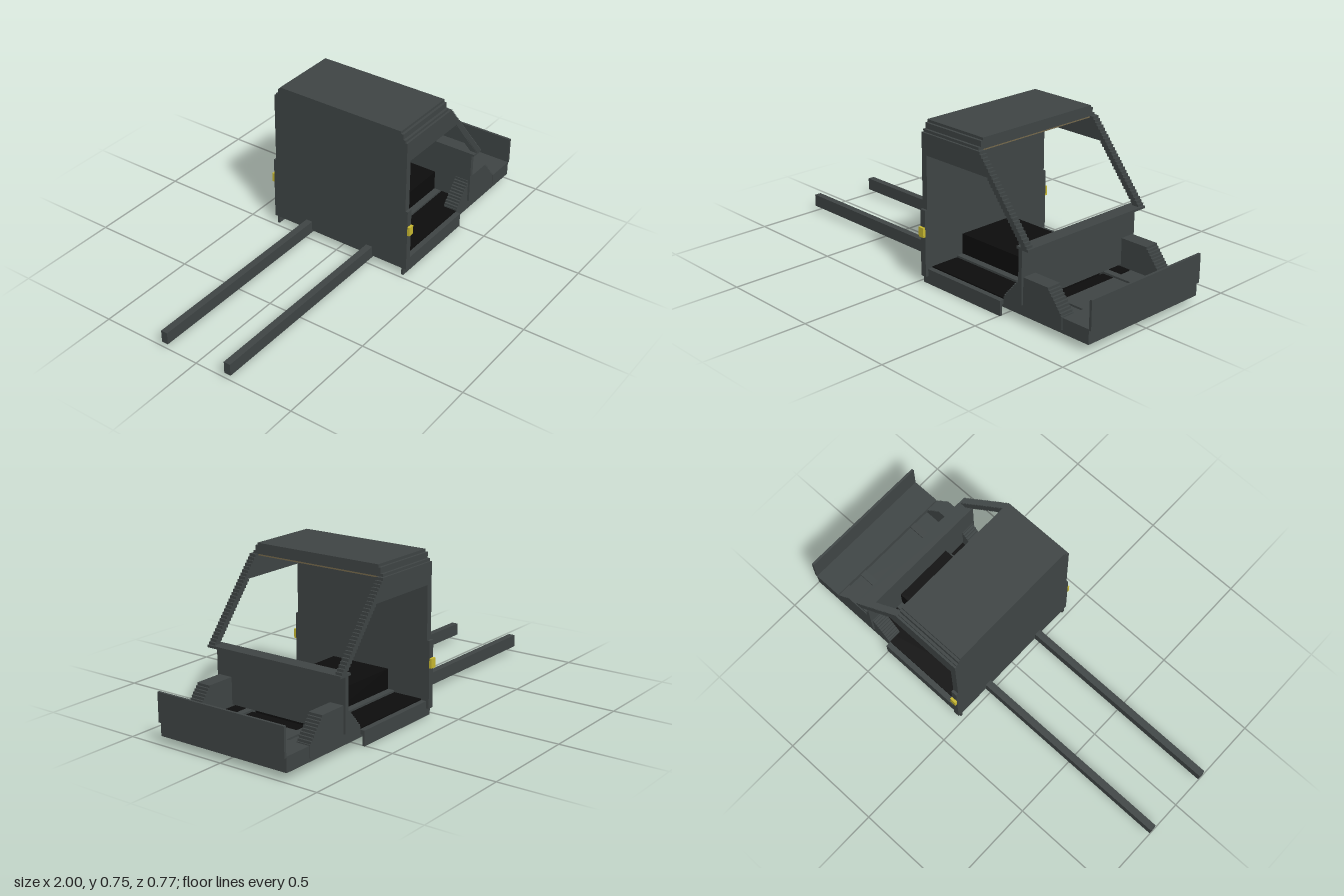
import * as THREE from 'three';

export function createModel() {
  const group = new THREE.Group();
  const mat = (name, color) => {
    const m = new THREE.MeshStandardMaterial({ color });
    m.name = name;
    return m;
  };
  const grey = mat('slate grey', 0x3f4545);
  const black = mat('interior black', 0x0d0d0d);
  const yellow = mat('marker yellow', 0xcaba30);
  const brown = mat('headliner brown', 0x75694c);

  // Box given by its limits on each axis
  const box = (name, x0, x1, y0, y1, z0, z1, m = grey) => {
    const mesh = new THREE.Mesh(new THREE.BoxGeometry(x1 - x0, y1 - y0, z1 - z0), m);
    mesh.position.set((x0 + x1) / 2, (y0 + y1) / 2, (z0 + z1) / 2);
    mesh.name = name;
    group.add(mesh);
  };
  // The same box on both sides of the vehicle
  const pair = (name, x0, x1, y0, y1, z0, z1, m) => {
    box(name + 'Left', x0, x1, y0, y1, z0, z1, m);
    box(name + 'Right', x0, x1, y0, y1, -z1, -z0, m);
  };
  // Stepped side piece: layers between two x limits that depend on height
  const steps = (name, n, y0, y1, z0, z1, back, front) => {
    const h = (y1 - y0) / n;
    for (let i = 0; i < n; i++) {
      const y = y0 + i * h;
      pair(name, back(y), front(y), y, y + h, z0, z1);
    }
  };

  // Chassis
  pair('chassisRail', -1, 0.96, 0.026, 0.085, 0.155, 0.188);
  box('floorPan', 0.02, 0.985, 0.036, 0.05, -0.34, 0.34);
  pair('sill', 0.02, 0.505, 0, 0.07, 0.35, 0.361);
  pair('sillTop', 0.05, 0.505, 0.05, 0.07, 0.335, 0.35);

  // Cab interior
  box('engineTunnel', 0.05, 0.6, 0.05, 0.18, -0.154, 0.154, black);
  box('tunnelFront', 0.62, 0.68, 0.05, 0.076, -0.154, 0.154, black);
  pair('cabFloor', 0.05, 0.67, 0.05, 0.076, 0.189, 0.335, black);
  box('headliner', 0.05, 0.36, 0.692, 0.699, -0.328, 0.328, brown);

  // Cab shell
  box('rearWall', 0.02, 0.05, 0.036, 0.7, -0.35, 0.35);
  pair('rearPostUpper', 0.02, 0.05, 0.35, 0.7, 0.35, 0.362);
  pair('rearPostLower', 0.02, 0.05, 0.036, 0.35, 0.35, 0.375);
  pair('sideMarker', 0.02, 0.05, 0.225, 0.27, 0.375, 0.387, yellow);

  // Roof in shrinking tiers
  box('roofBase', 0.02, 0.365, 0.7, 0.712, -0.352, 0.352);
  box('roofMiddle', 0.02, 0.365, 0.712, 0.738, -0.34, 0.34);
  box('roofTop', 0.02, 0.365, 0.738, 0.75, -0.328, 0.328);

  // Door headers and stepped windscreen pillars
  const slope = (y) => 0.37 + (0.7 - y) * 0.82;
  steps('doorHeader', 8, 0.6, 0.7, 0.328, 0.362, () => 0.05, slope);
  steps('windscreenPillar', 20, 0.35, 0.6, 0.328, 0.362, (y) => slope(y) - 0.035, slope);

  // Cowl and front panel
  box('cowl', 0.6, 0.667, 0.34, 0.351, -0.362, 0.362);
  box('frontPanel', 0.6, 0.62, 0.085, 0.345, -0.35, 0.35);

  // Stepped wheel arches and nose floor
  steps('wheelArch', 14, 0.05, 0.21, 0.27, 0.34,
    (y) => 0.505 + Math.max(0, y - 0.08) * 0.85,
    (y) => 0.84 - Math.max(0, y - 0.1) * 0.8);
  box('noseFloor', 0.68, 0.845, 0.05, 0.076, -0.27, 0.27);

  // Bumper with upright plate
  box('bumper', 0.845, 0.988, 0.036, 0.105, -0.34, 0.34);
  box('frontPlate', 0.988, 1, 0.1, 0.235, -0.34, 0.34);

  return group;
}
